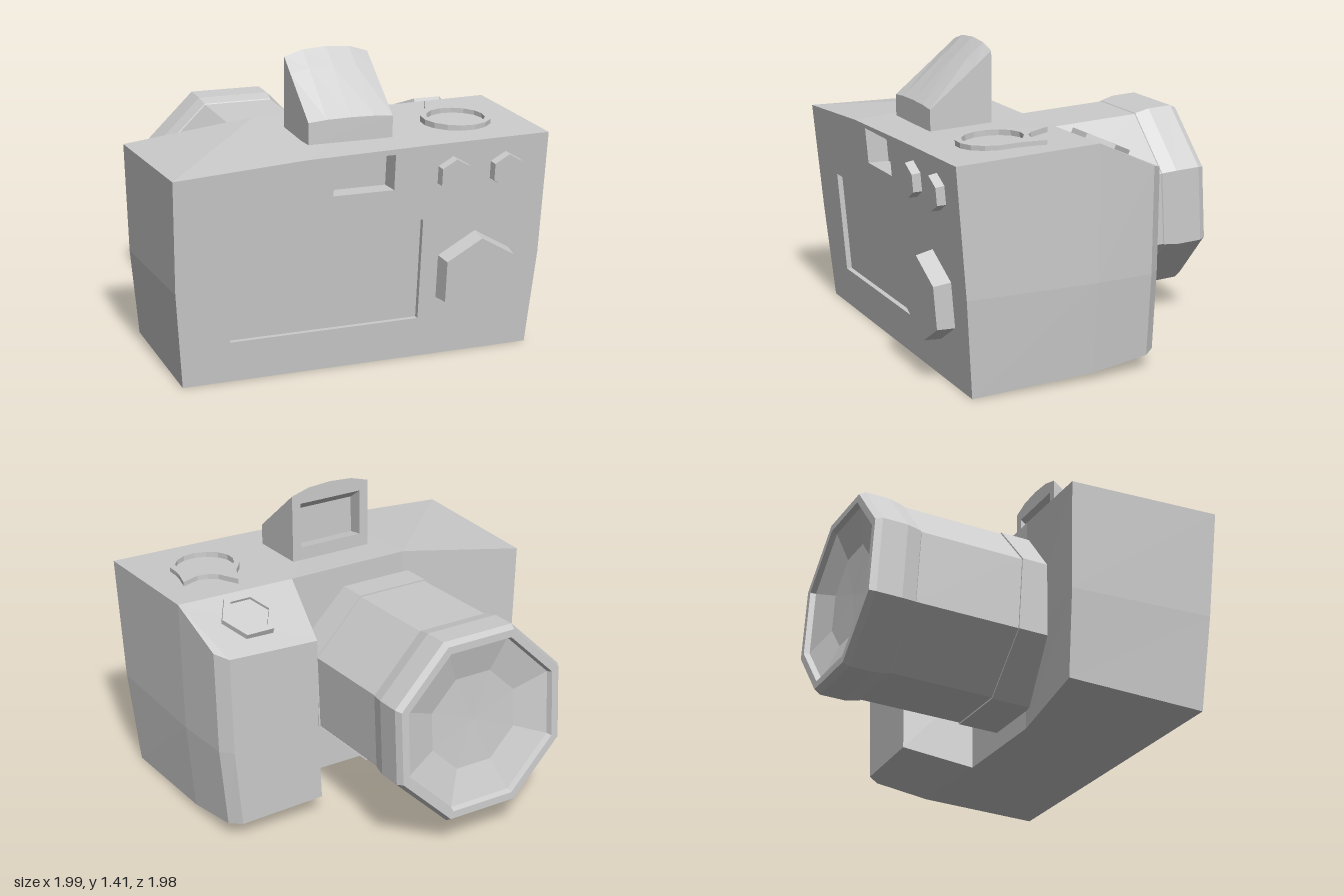
import * as THREE from 'three';

const grey = new THREE.MeshStandardMaterial({ color: 0xcccccc, flatShading: true });
const greyOpen = new THREE.MeshStandardMaterial({ color: 0xcccccc, flatShading: true, side: THREE.DoubleSide });
const V = (x, y) => new THREE.Vector2(x, y);

// Depth of the leaning rear face at height y
const rearZ = (y) => 0.582 + 0.0855 * y;

function part(group, name, geometry, material = grey) {
  const mesh = new THREE.Mesh(geometry, material);
  mesh.name = name;
  group.add(mesh);
  return mesh;
}

// Push a flat geometry onto the leaning rear face
function leanOnRear(geometry) {
  const p = geometry.attributes.position;
  for (let i = 0; i < p.count; i++) p.setZ(i, p.getZ(i) + rearZ(p.getY(i)));
  return geometry;
}

// Body outline seen from above: x, z, top height, bottom height
const outline = [
  [-0.81, 0.67, 0.97, 0], [-0.2, 0.67, 1.01, 0], [0.4, 0.67, 1.025, 0], [0.99, 0.67, 1.035, 0],
  [0.985, 0, 1.07, 0.03], [0.96, -0.28, 0.94, 0.065], [0.91, -0.335, 0.92, 0.075],
  [0.47, -0.335, 0.9, 0.09], [0.405, 0, 1.06, 0.02], [-0.2, 0, 1.06, 0.02], [-0.81, -0.08, 0.965, 0.04],
];

// Outline point at level 0 (bottom), 1 (middle) or 2 (top)
function bodyPoint(i, level) {
  const [x, z, top, bottom] = outline[i];
  const y = [bottom, 0.45, top][level];
  const sx = [0.944, 0.985, 1][level];
  return [x * sx + 0.012 * (2 - level) / 2, y, i < 4 ? rearZ(y) : z];
}

function bodyShell() {
  const tris = [];
  const face = (pts) => {
    for (let k = 1; k < pts.length - 1; k++) tris.push(...pts[0], ...pts[k], ...pts[k + 1]);
  };
  const n = outline.length;
  for (let i = 3; i < n; i++) {
    const j = (i + 1) % n;
    for (let l = 0; l < 2; l++) {
      face([bodyPoint(i, l), bodyPoint(j, l), bodyPoint(j, l + 1), bodyPoint(i, l + 1)]);
    }
  }
  for (const cell of [[0, 1, 9, 10], [1, 2, 8, 9], [2, 3, 4, 8], [4, 5, 6, 7, 8]]) {
    face(cell.map((i) => bodyPoint(i, 2)));
    face(cell.map((i) => bodyPoint(i, 0)).reverse());
  }
  const g = new THREE.BufferGeometry();
  g.setAttribute('position', new THREE.Float32BufferAttribute(tris, 3));
  g.computeVertexNormals();
  return g;
}

// Five-sided pocket set into the rear face
function pocket(x0, x1, y0, y1, depth) {
  const g = new THREE.BoxGeometry(x1 - x0, y1 - y0, depth);
  const idx = Array.from(g.index.array);
  idx.splice(24, 6);
  g.setIndex(idx);
  g.translate((x0 + x1) / 2, (y0 + y1) / 2, -depth / 2);
  return leanOnRear(g);
}

function addRear(group) {
  const pockets = [
    ['screen', -0.535, 0.38, 0.19, 0.675, 0.025],
    ['eyepiece', -0.065, 0.228, 0.83, 0.995, 0.1],
  ];
  const at = (i, l) => V(...bodyPoint(i, l).slice(0, 2));
  const shape = new THREE.Shape([at(0, 0), at(3, 0), at(3, 1), at(3, 2), at(2, 2), at(1, 2), at(0, 2), at(0, 1)]);
  for (const [name, x0, x1, y0, y1, d] of pockets) {
    shape.holes.push(new THREE.Path([V(x0, y0), V(x0, y1), V(x1, y1), V(x1, y0)]));
    part(group, name, pocket(x0, x1, y0, y1, d), greyOpen);
  }
  part(group, 'rearPanel', leanOnRear(new THREE.ShapeGeometry(shape)));

  // Six-sided buttons: x, y, radius, height
  for (const [name, x, y, r, h] of [
    ['smallButton', 0.513, 0.88, 0.085, 0.04],
    ['smallButton', 0.775, 0.88, 0.085, 0.04],
    ['controlPad', 0.645, 0.385, 0.21, 0.08],
  ]) {
    const m = part(group, name, new THREE.CylinderGeometry(r * 0.93, r, h + 0.02, 6));
    m.rotation.x = Math.PI / 2 + 0.085;
    m.position.set(x, y, rearZ(y) + h / 2 - 0.01);
  }
}

// Hump over the lens: an arched section that shrinks toward the rear
function addHump(group) {
  const z0 = 0.19, zMid = 0.27, z1 = 0.49, base = 1.03;
  const slice = (name, from, to, hollow) => {
    const shape = new THREE.Shape([V(-0.12, 0), V(0.29, 0), V(0.29, 0.345),
      V(0.2, 0.372), V(0.085, 0.38), V(-0.03, 0.372), V(-0.12, 0.345)]);
    if (hollow) {
      shape.holes.push(new THREE.Path([V(-0.075, 0.08), V(-0.075, 0.3), V(0.245, 0.3), V(0.245, 0.08)]));
    }
    const g = new THREE.ExtrudeGeometry(shape, { depth: to - from, bevelEnabled: false });
    g.translate(0, 0, from);
    const p = g.attributes.position;
    for (let i = 0; i < p.count; i++) {
      const t = (p.getZ(i) - z0) / (z1 - z0);
      p.setY(i, base + p.getY(i) * (1 - 0.71 * t));
    }
    g.computeVertexNormals();
    part(group, name, g);
  };
  slice('flashFrame', z0, zMid, true);
  slice('flashHousing', zMid, z1, false);
}

// Ring with two horns on the top plate
function addTopControls(group) {
  const polar = (deg, r) => V(r * Math.cos(deg * Math.PI / 180), r * Math.sin(deg * Math.PI / 180));
  const rim = [[41, 0.256], [52, 0.17], [68, 0.155], [84, 0.175], [96, 0.28], [115, 0.185]];
  for (let d = 140; d <= 370; d += 23) rim.push([d, 0.165]);
  rim.push([22, 0.18]);
  const shape = new THREE.Shape(rim.map(([d, r]) => polar(d, r)));
  const hole = [];
  for (let d = 360; d > 0; d -= 24) hole.push(polar(d, 0.137));
  shape.holes.push(new THREE.Path(hole));
  const g = new THREE.ExtrudeGeometry(shape, { depth: 0.04, bevelEnabled: false });
  g.rotateX(-Math.PI / 2);
  const ring = part(group, 'hornedRing', g);
  ring.rotation.x = 0.052;
  ring.position.set(0.669, 1.03, 0.356);

  // Shutter button on the sloping grip
  const profile = [V(0.135, -0.03), V(0.135, 0.025), V(0.1, 0.025), V(0.1, 0.012), V(0, 0.012)];
  const shutter = part(group, 'shutterButton', new THREE.LatheGeometry(profile, 6, Math.PI / 6));
  shutter.rotation.x = -0.42;
  shutter.position.set(0.711, 1.0, -0.141);
}

// Eight-sided lens: profile as distance across flats / 2 and distance forward
function addLens(group) {
  const lathe = (name, pts) => {
    const k = 1 / Math.cos(Math.PI / 8);
    const m = part(group, name, new THREE.LatheGeometry(pts.map(([r, d]) => V(r * k, d)), 8, Math.PI / 8));
    m.rotation.x = -Math.PI / 2 + 0.055;
    m.position.set(-0.05, 0.53, 0);
  };
  lathe('lensBarrel', [[0.425, -0.08], [0.425, 0.17], [0.418, 0.17], [0.418, 0.68]]);
  lathe('lensRing', [[0.41, 0.66], [0.422, 0.67], [0.436, 0.74], [0.436, 0.86], [0.42, 0.89], [0.385, 0.89], [0.375, 0.865]]);
  lathe('lensGlass', [[0.375, 0.865], [0.22, 0.82], [0, 0.815]]);
}

export function createModel() {
  const model = new THREE.Group();
  model.name = 'camera';
  const camera = new THREE.Group();
  camera.name = 'cameraBody';
  part(camera, 'bodyShell', bodyShell());
  addRear(camera);
  addHump(camera);
  addTopControls(camera);
  addLens(camera);
  // The whole camera stands turned on its base
  camera.rotation.y = -0.362;
  model.add(camera);
  return model;
}
